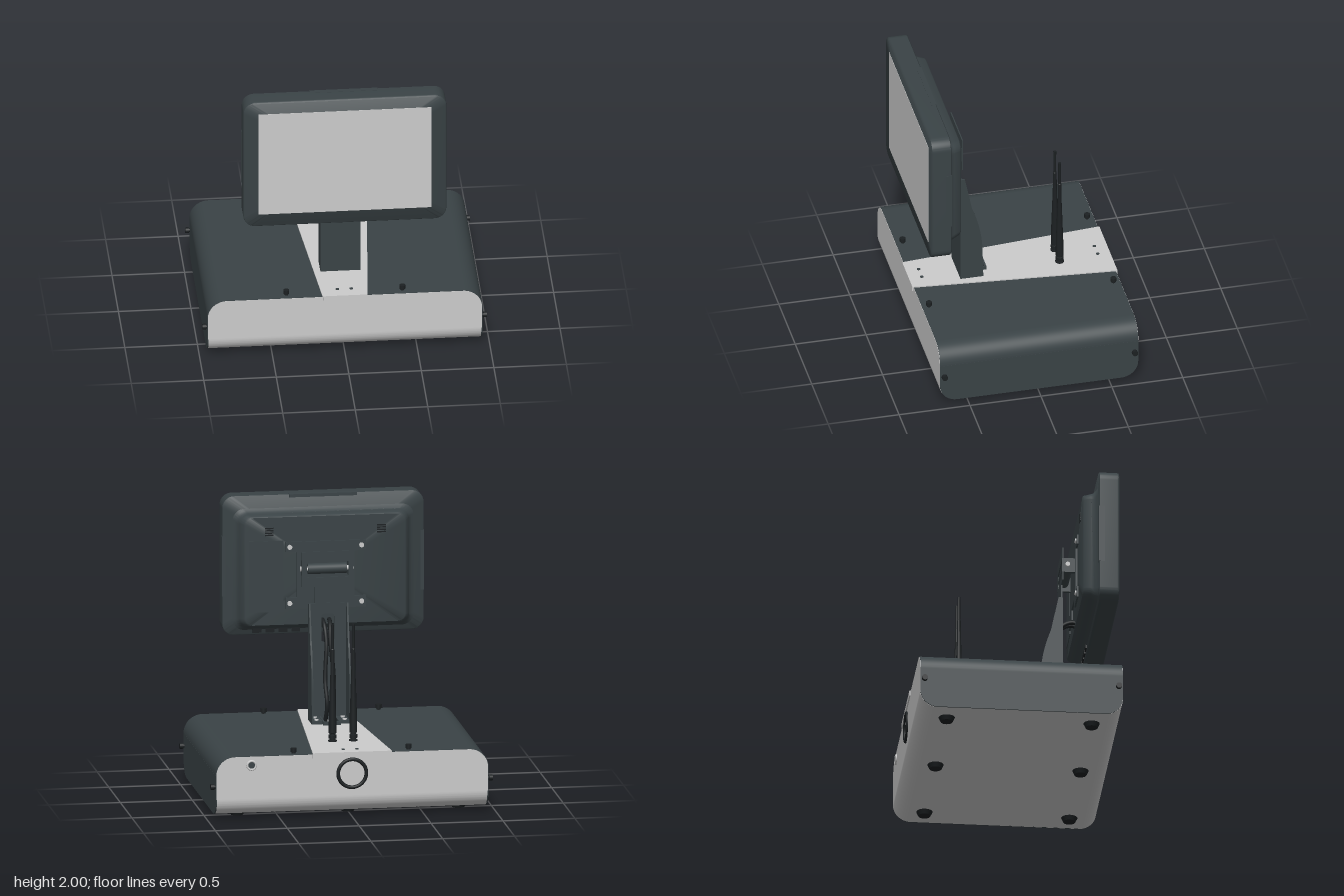
import * as THREE from 'three';
import { toCreasedNormals } from 'three/addons/utils/BufferGeometryUtils.js';

const grey = new THREE.MeshStandardMaterial({ color: 0xcccccc, side: THREE.DoubleSide });
const dark = new THREE.MeshStandardMaterial({ color: 0x3a4346, side: THREE.DoubleSide });
const black = new THREE.MeshStandardMaterial({ color: 0x1c2022, side: THREE.DoubleSide });

export function createModel() {
  const model = new THREE.Group();

  const add = (name, geo, mat, x = 0, y = 0, z = 0) => {
    const mesh = new THREE.Mesh(geo, mat);
    mesh.name = name;
    mesh.position.set(x, y, z);
    model.add(mesh);
    return mesh;
  };
  // box given by its limits
  const box = (name, mat, x0, x1, y0, y1, z0, z1) =>
    add(name, new THREE.BoxGeometry(x1 - x0, y1 - y0, z1 - z0), mat, (x0 + x1) / 2, (y0 + y1) / 2, (z0 + z1) / 2);
  const cyl = (name, mat, r, h, axis, x, y, z, r2 = r) => {
    const g = new THREE.CylinderGeometry(r, r2, h, 24);
    if (axis === 'x') g.rotateZ(Math.PI / 2);
    if (axis === 'z') g.rotateX(Math.PI / 2);
    return add(name, g, mat, x, y, z);
  };
  const extrude = (shape, depth) => toCreasedNormals(
    new THREE.ExtrudeGeometry(shape, { depth, bevelEnabled: false, curveSegments: 14 }).translate(0, 0, -depth / 2), 0.6);
  // shape drawn in (z, y), extruded along x
  const extrudeX = (shape, width) => extrude(shape, width).rotateY(-Math.PI / 2);
  const poly = (pts) => new THREE.Shape(pts.map((p) => new THREE.Vector2(...p)));

  // rectangle with separate radii for the bottom and top corners
  const roundRect = (x0, x1, y0, y1, rb, rt = rb) => {
    const s = new THREE.Shape();
    s.moveTo(x0 + rb, y0).lineTo(x1 - rb, y0);
    if (rb) s.absarc(x1 - rb, y0 + rb, rb, -Math.PI / 2, 0, false);
    s.lineTo(x1, y1 - rt);
    if (rt) s.absarc(x1 - rt, y1 - rt, rt, 0, Math.PI / 2, false);
    s.lineTo(x0 + rt, y1);
    if (rt) s.absarc(x0 + rt, y1 - rt, rt, Math.PI / 2, Math.PI, false);
    s.lineTo(x0, y0 + rb);
    if (rb) s.absarc(x0 + rb, y0 + rb, rb, Math.PI, Math.PI * 1.5, false);
    return s;
  };
  // closed skin over rounded rectangles [halfWidth, y0, y1, radius, z], front to back
  const loft = (sections) => {
    const rings = sections.map(([w, y0, y1, r, z]) =>
      roundRect(-w, w, y0, y1, r).getPoints(8).map((p) => new THREE.Vector3(p.x, p.y, z)));
    const tris = [], n = rings[0].length, last = rings.length - 1;
    const centre = (k) => new THREE.Vector3(0, (sections[k][1] + sections[k][2]) / 2, sections[k][4]);
    for (let i = 0; i < n; i++) {
      const j = (i + 1) % n;
      tris.push(centre(0), rings[0][i], rings[0][j], centre(last), rings[last][j], rings[last][i]);
      for (let k = 0; k < last; k++) {
        const a = rings[k], b = rings[k + 1];
        tris.push(a[i], b[i], a[j], a[j], b[i], b[j]);
      }
    }
    return toCreasedNormals(new THREE.BufferGeometry().setFromPoints(tris), 0.7);
  };

  // Base tray: bottom and rounded lower edges, with front and back panels
  const tray = new THREE.Shape();
  tray.moveTo(-0.7, 0.15).absarc(-0.58, 0.15, 0.12, Math.PI, Math.PI * 1.5, false);
  tray.absarc(0.58, 0.15, 0.12, -Math.PI / 2, 0, false);
  tray.lineTo(0.685, 0.15).absarc(0.58, 0.15, 0.105, 0, -Math.PI / 2, true);
  tray.absarc(-0.58, 0.15, 0.105, Math.PI * 1.5, Math.PI, true);
  add('baseTray', extrudeX(tray, 1.88), grey);
  for (const s of [1, -1])
    add(s > 0 ? 'frontPanel' : 'backPanel', extrude(roundRect(-0.945, 0.945, 0.15, 0.445, 0, 0.13), 0.015), grey, 0, 0, s * 0.6925);

  // Cover: arched top and two side walls
  const arch = new THREE.Shape();
  arch.moveTo(0.948, 0.315).absarc(0.818, 0.318, 0.13, 0, Math.PI / 2, false);
  arch.absarc(-0.818, 0.318, 0.13, Math.PI / 2, Math.PI, false);
  arch.lineTo(-0.948, 0.315).lineTo(-0.933, 0.315).absarc(-0.818, 0.318, 0.115, Math.PI, Math.PI / 2, true);
  arch.absarc(0.818, 0.318, 0.115, Math.PI / 2, 0, true);
  arch.lineTo(0.933, 0.315);
  add('coverTop', extrude(arch, 1.396), dark);
  for (const s of [1, -1])
    add('coverSide', extrudeX(roundRect(-0.698, 0.698, 0.03, 0.317, 0.12, 0), 0.015), dark, s * 0.9405);

  // Tapered top strip with folded ends
  const strip = poly([[-0.155, -0.705], [0.155, -0.705], [0.275, 0.705], [-0.275, 0.705]]);
  add('topStrip', extrude(strip, 0.01).rotateX(-Math.PI / 2), grey, 0, 0.451, 0);
  box('stripFrontLip', grey, -0.15, 0.15, 0.42, 0.456, 0.7, 0.71);
  box('stripBackLip', grey, -0.275, 0.275, 0.42, 0.456, -0.708, -0.7);
  for (const z of [-0.62, 0.62])
    for (const x of [-0.045, 0.05]) cyl('stripScrew', dark, 0.012, 0.006, 'y', x, 0.457, z);

  // Studs and feet
  for (const sx of [1, -1])
    for (const sz of [1, -1]) {
      cyl('topStud', black, 0.013, 0.02, 'y', sx * 0.4, 0.455, sz * 0.65);
      cyl('topStudCap', black, 0.02, 0.028, 'y', sx * 0.4, 0.472, sz * 0.65);
      cyl('sideStud', black, 0.013, 0.02, 'x', sx * 0.953, 0.235, sz * 0.67);
      cyl('sideStudCap', black, 0.02, 0.025, 'x', sx * 0.968, 0.235, sz * 0.67);
    }
  for (const x of [-0.77, 0, 0.77])
    for (const z of [-0.5, 0.5]) cyl('foot', black, 0.057, 0.032, 'y', x, 0.016, z, 0.042);

  // Ring and socket on the back panel
  add('backRing', new THREE.TorusGeometry(0.098, 0.013, 12, 48), black, 0, 0.305, -0.702);
  add('socketRing', new THREE.TorusGeometry(0.03, 0.008, 10, 28), grey, 0.7, 0.385, -0.703);
  cyl('socketCore', dark, 0.024, 0.008, 'z', 0.7, 0.385, -0.702);

  // Two rod antennas
  const rod = [[0, 0.455], [0.03, 0.455], [0.03, 0.464], [0.02, 0.466], [0.02, 0.475], [0.028, 0.477], [0.028, 0.5],
    [0.02, 0.503], [0.02, 0.512], [0.027, 0.515], [0.026, 0.62], [0.014, 0.97], [0.013, 1.1], [0.01, 1.105],
    [0.01, 1.25], [0.011, 1.275], [0, 1.275]].map((p) => new THREE.Vector2(...p));
  for (const x of [-0.065, 0.08])
    add('antenna', toCreasedNormals(new THREE.LatheGeometry(rod, 20), 0.5), black, x, 0, -0.345);

  // Column: front sheet with a cable slot, and two curved side flanges
  const sheet = poly([[-0.14, 0.455], [0.135, 0.455], [0.135, 1.275], [-0.14, 1.275]]);
  sheet.holes.push(roundRect(-0.045, 0.045, 1.0, 1.2, 0.02));
  add('columnFront', extrude(sheet, 0.012), dark, 0, 0, 0.36);
  const flange = new THREE.Shape();
  flange.moveTo(0.366, 0.455).lineTo(0.366, 1.275).lineTo(0.335, 1.275).lineTo(0.285, 1.03);
  flange.bezierCurveTo(0.235, 0.9, 0.21, 0.78, 0.21, 0.64).lineTo(0.205, 0.455);
  for (const x of [-0.134, 0.129]) add('columnFlange', extrudeX(flange, 0.012), dark, x);
  for (const s of [1, -1]) {
    box('columnFootPlate', dark, s > 0 ? 0.06 : -0.14, s > 0 ? 0.135 : -0.06, 0.455, 0.478, 0.205, 0.355);
    for (const z of [0.235, 0.315]) cyl('footScrew', grey, 0.015, 0.012, 'y', s * 0.098, 0.48, z);
    box('cableGuideSide', dark, s * 0.055 - 0.006, s * 0.055 + 0.006, 0.455, 0.48, 0.17, 0.355);
  }
  box('cableGuideBack', dark, -0.06, 0.06, 0.455, 0.48, 0.165, 0.18);

  // Tilt plate: neck above the column and a window around the hinge barrel
  const tilt = poly([[-0.09, 1.26], [0.09, 1.26], [0.09, 1.39], [0.18, 1.39], [0.18, 1.635], [-0.18, 1.635], [-0.18, 1.39], [-0.09, 1.39]]);
  tilt.holes.push(roundRect(-0.145, 0.145, 1.455, 1.565, 0.008));
  add('tiltPlate', extrude(tilt, 0.008), dark, 0, 0, 0.362);
  cyl('hingeBarrel', dark, 0.037, 0.27, 'x', 0, 1.51, 0.395);
  cyl('hingePin', grey, 0.016, 0.37, 'x', 0, 1.51, 0.395);
  for (const s of [1, -1]) box('hingeEar', dark, s * 0.16 - 0.01, s * 0.16 + 0.01, 1.455, 1.56, 0.356, 0.45);

  // Mounting plate on the back of the display
  const mount = poly([[-0.28, 1.22], [-0.1, 1.22], [-0.1, 1.29], [0.1, 1.29], [0.1, 1.22], [0.28, 1.22], [0.28, 1.3],
    [0.2, 1.3], [0.2, 1.62], [0.28, 1.62], [0.28, 1.69], [-0.28, 1.69], [-0.28, 1.62], [-0.2, 1.62], [-0.2, 1.3], [-0.28, 1.3]]);
  add('mountPlate', extrude(mount, 0.012), dark, 0, 0, 0.453);
  for (const x of [-0.25, 0.25])
    for (const y of [1.26, 1.655]) cyl('mountScrew', grey, 0.017, 0.014, 'z', x, y, 0.444);

  // Display: frame, screen and flared rear housing
  add('displayFrame', loft([[0.692, 1.033, 1.992, 0.075, 0.7], [0.698, 1.027, 1.998, 0.08, 0.695],
    [0.7, 1.025, 2, 0.082, 0.685], [0.7, 1.025, 2, 0.082, 0.565], [0.694, 1.031, 1.994, 0.076, 0.56]]), dark);
  box('screen', grey, -0.595, 0.595, 1.12, 1.91, 0.69, 0.702);
  add('rearHousing', loft([[0.632, 1.058, 1.912, 0.08, 0.562], [0.612, 1.068, 1.897, 0.075, 0.55],
    [0.597, 1.077, 1.884, 0.07, 0.535], [0.588, 1.086, 1.878, 0.065, 0.515], [0.566, 1.1, 1.872, 0.06, 0.468],
    [0.555, 1.108, 1.864, 0.055, 0.46]]), dark);
  for (const s of [1, -1]) {
    box('frameSideTab', dark, s * 0.69 - 0.013, s * 0.69 + 0.013, 1.3, 1.72, 0.557, 0.6);
    const vent = new THREE.Group();
    vent.name = 'vent';
    for (let i = 0; i < 4; i++) {
      const slat = new THREE.Mesh(new THREE.BoxGeometry(0.06, 0.009, 0.006), black);
      slat.name = 'ventSlat';
      slat.position.set(s * 0.39, 1.74 + i * 0.016, 0.459);
      vent.add(slat);
    }
    model.add(vent);
  }
  box('frameTopTab', dark, -0.235, 0.235, 1.98, 2.0015, 0.557, 0.592);
  box('rearDoor', dark, 0.29, 0.53, 1.2, 1.7, 0.455, 0.465);
  for (let i = 0; i < 4; i++) box('port', black, 0.16 + i * 0.09, 0.22 + i * 0.09, 1.038, 1.07, 0.55, 0.566);

  // Cables from the display, through the slot and down into the base
  for (const s of [1, -1]) {
    const path = new THREE.CatmullRomCurve3([[0.03, 1.12, 0.5], [0.025, 1.14, 0.44], [0.02, 1.11, 0.37], [0.015, 1.0, 0.32],
      [0.03, 0.75, 0.28], [0.022, 0.58, 0.24], [0.03, 0.455, 0.28]].map(([x, y, z]) => new THREE.Vector3(s * x, y, z)));
    add('cable', new THREE.TubeGeometry(path, 40, 0.015, 10), black);
  }
  return model;
}
